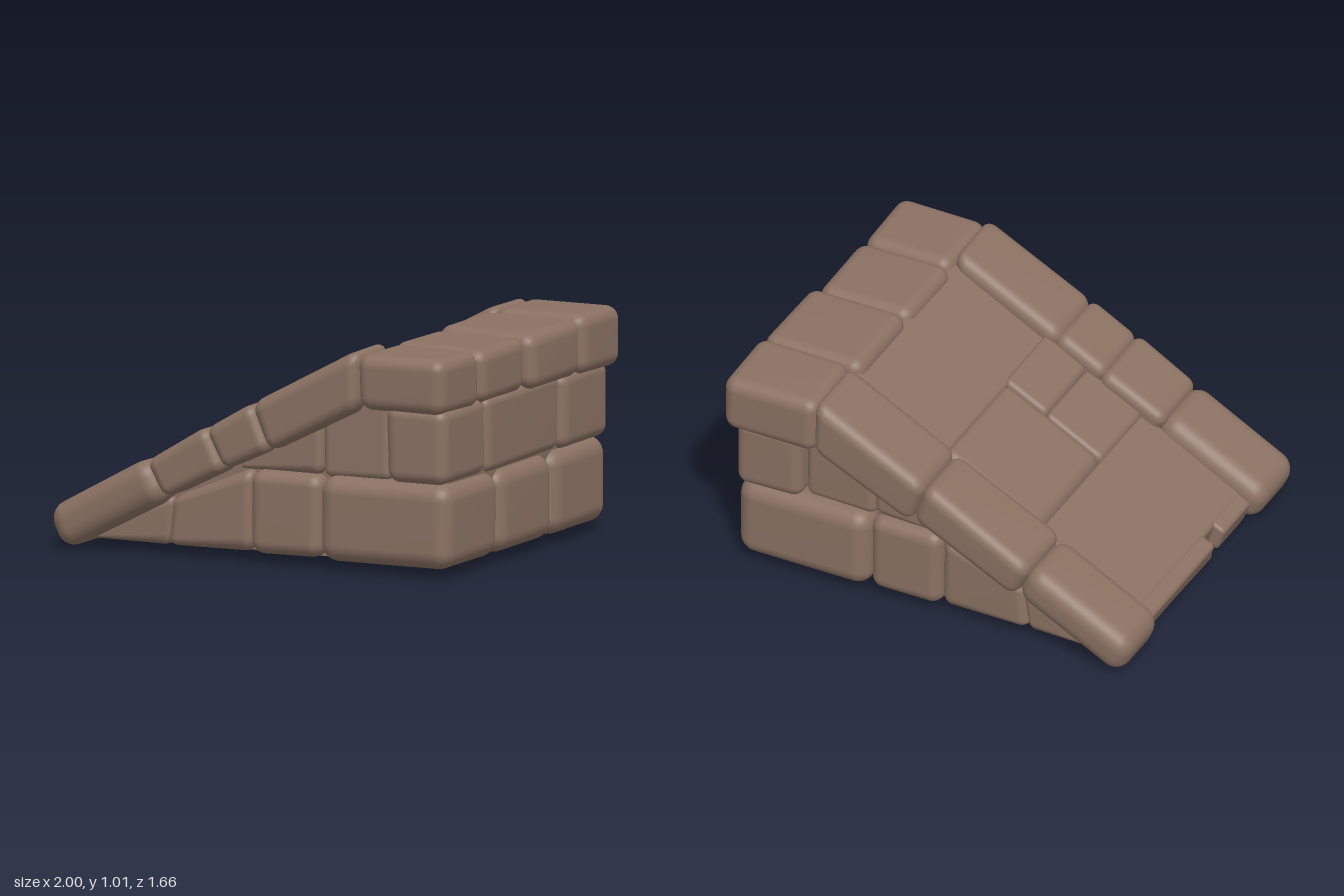
import * as THREE from 'three';
import { mergeVertices } from 'three/addons/utils/BufferGeometryUtils.js';
import { RoundedBoxGeometry } from 'three/addons/geometries/RoundedBoxGeometry.js';

export function createModel() {
  const model = new THREE.Group();
  model.name = 'stoneRamp';
  const stoneMat = new THREE.MeshStandardMaterial({ color: 0x8a7162 });
  stoneMat.name = 'brown stone';

  let seed = 7;
  const rand = () => (seed = (seed * 16807) % 2147483647) / 2147483647 - 0.5;

  // Worn block: a rounded box bent onto a side outline [bottom left, bottom right,
  // top right, top left], between zBack and zFront, with slightly uneven corners.
  function stone(name, quad, zBack, zFront, r = 0.045, wear = 0.012) {
    const q = quad.map((p) => new THREE.Vector2(...p));
    const w = (q[0].distanceTo(q[1]) + q[2].distanceTo(q[3])) / 2;
    const h = (q[0].distanceTo(q[3]) + q[1].distanceTo(q[2])) / 2;
    const d = zFront - zBack;
    const radius = Math.min(r, w * 0.4, h * 0.4, d * 0.4);
    let geo = new RoundedBoxGeometry(w, h, d, 4, radius);
    const corners = [zBack, zFront].map((z) => q.map((p) =>
      new THREE.Vector3(p.x + rand() * wear, p.y + rand() * wear, z + rand() * wear)));
    const pos = geo.attributes.position;
    for (let i = 0; i < pos.count; i++) {
      const u = pos.getX(i) / w + 0.5, v = pos.getY(i) / h + 0.5, t = pos.getZ(i) / d + 0.5;
      const [a, b] = corners.map((c) => c[0].clone().lerp(c[1], u)
        .lerp(c[3].clone().lerp(c[2], u), v));
      a.lerp(b, t);
      pos.setXYZ(i, a.x, a.y, a.z);
    }
    geo.deleteAttribute('normal');
    geo.deleteAttribute('uv');
    geo = mergeVertices(geo, 1e-5);
    geo.computeVertexNormals();
    const mesh = new THREE.Mesh(geo, stoneMat);
    mesh.name = name;
    model.add(mesh);
  }
  const rect = (x0, x1, y0, y1) => [[x0, y0], [x1, y0], [x1, y1], [x0, y1]];

  // Solid core behind the joints, flush with the underside
  const coreShape = new THREE.Shape([[-0.8, 0.045], [0.85, 0.045], [0.89, 0.1], [0.91, 0.45], [0.91, 0.94],
    [0.52, 0.88], [-0.8, 0.14]].map((p) => new THREE.Vector2(...p)));
  const core = new THREE.Mesh(
    new THREE.ExtrudeGeometry(coreShape, { depth: 1.32, bevelEnabled: false }).translate(0, 0, -0.66), stoneMat);
  core.name = 'core';
  model.add(core);

  // Base course: three stones at the tall end, long rows running under the slope
  for (const [z0, z1] of [[-0.785, -0.26], [-0.265, 0.255], [0.25, 0.77]])
    stone('baseEndStone', rect(0.305, 0.958, 0.036, 0.422), z0, z1, 0.08, 0.008);
  stone('baseStone', rect(-0.045, 0.31, 0.04, 0.42), -0.755, 0.75, 0.06, 0.008);
  stone('baseStone', [[-0.47, 0.04], [-0.04, 0.04], [-0.04, 0.42], [-0.44, 0.26]], -0.73, 0.725, 0.05, 0.008);
  stone('baseWedge', [[-0.87, 0.04], [-0.465, 0.04], [-0.435, 0.26], [-0.84, 0.1]], -0.715, 0.71, 0.03, 0.008);

  // Middle course: corner and side stones, one long stone at the tall end
  stone('middleCornerStone', rect(0.635, 0.935, 0.415, 0.76), 0.34, 0.76, 0.055);
  stone('middleCornerStone', rect(0.635, 0.96, 0.415, 0.76), -0.785, -0.345, 0.055);
  for (const [z0, z1] of [[0.35, 0.71], [-0.715, -0.35]]) {
    stone('middleSideStone', rect(0.3, 0.64, 0.41, 0.78), z0, z1, 0.04);
    stone('middleWedge', [[-0.13, 0.41], [0.305, 0.41], [0.305, 0.68], [-0.02, 0.52]], z0, z1, 0.04);
  }
  stone('middleEndStone', rect(0.6, 0.94, 0.415, 0.76), -0.35, 0.345);

  // Cap stones along the top edge
  [[0.508, 0.94, 0.415, 0.79, 0.987], [0.495, 0.95, 0.0, 0.42, 0.982],
    [0.495, 0.988, -0.46, 0.005, 0.988], [0.54, 0.998, -0.83, -0.455, 1.002]].forEach(([x0, x1, z0, z1, top]) =>
    stone('capStone', rect(x0, x1, 0.732, top), z0, z1, 0.06));

  // Sloped curbs
  const lowEnd = [[-0.945, -0.012], [-0.42, 0.265], [-0.515, 0.445], [-1.025, 0.165]];
  const highEnd = [[0.07, 0.505], [0.525, 0.735], [0.518, 1.01], [-0.02, 0.72]];
  stone('frontCurbStone', lowEnd, 0.49, 0.827, 0.08);
  stone('frontCurbStone', [[-0.435, 0.26], [-0.13, 0.415], [-0.225, 0.605], [-0.53, 0.425]], 0.475, 0.82, 0.05);
  stone('frontCurbStone', [[-0.145, 0.415], [0.085, 0.525], [0, 0.735], [-0.24, 0.59]], 0.472, 0.815, 0.05);
  stone('frontCurbStone', highEnd, 0.47, 0.81, 0.06);
  stone('backCurbStone', lowEnd, -0.802, -0.47, 0.08);
  stone('backCurbStone', [[-0.43, 0.26], [0.08, 0.515], [0, 0.73], [-0.525, 0.43]], -0.815, -0.475, 0.06);
  stone('backCurbStone', [[0.07, 0.505], [0.555, 0.735], [0.545, 1.015], [-0.01, 0.725]], -0.83, -0.48, 0.06);

  // Ramp paving, lying just below the curb tops
  function paving(name, x0, x1, z0, z1, lift = 0, r = 0.02) {
    const y = (x) => 0.65 + 0.56 * x + lift;
    stone(name, [[x0 + 0.04, Math.max(y(x0) - 0.13, 0.01)], [x1 + 0.04, y(x1) - 0.13],
      [x1, y(x1)], [x0, y(x0)]], z0, z1, r, 0.003);
  }
  paving('lowSlab', -0.9, -0.405, -0.5, 0.51);
  paving('lowSlabLip', -0.955, -0.7, -0.5, 0.15, -0.004);
  paving('lowSlabLip', -0.95, -0.7, 0.24, 0.51, -0.004);
  paving('largePaver', -0.415, 0.06, -0.5, 0.105, 0.024, 0.05);
  paving('smallPaver', -0.415, -0.135, 0.1, 0.5, 0.014, 0.03);
  paving('smallPaver', -0.14, 0.07, 0.1, 0.5, 0.02, 0.03);
  paving('highSlab', 0.055, 0.53, -0.5, 0.5);

  // Chipped toes under the low edge
  for (const [z0, z1] of [[0.25, 0.48], [-0.12, 0.19]])
    stone('toeChip', [[-0.91, 0], [-0.82, 0.01], [-0.76, 0.08], [-0.93, 0.1]], z0, z1, 0.02, 0.01);

  return model;
}
